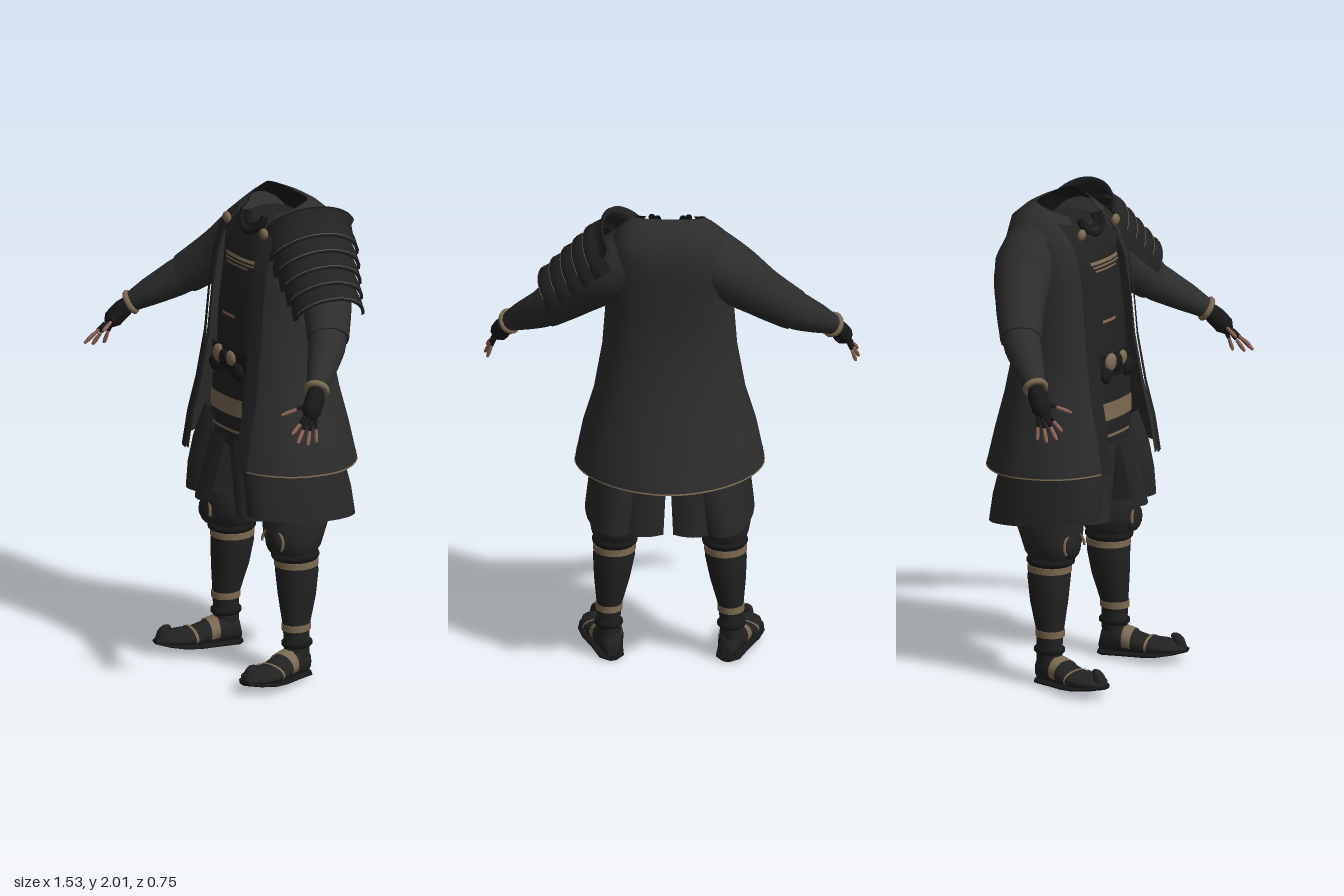
import * as THREE from 'three';

const V = (x, y, z) => new THREE.Vector3(x, y, z);
const paint = (name, color, side = THREE.DoubleSide) => {
  const m = new THREE.MeshStandardMaterial({ color, side });
  m.name = name;
  return m;
};

// Skin a list of point rings; rings may be closed loops or open strips
function loft(rings, closed = true, caps = false) {
  const n = rings[0].length, pos = [], idx = [];
  rings.forEach(r => r.forEach(p => pos.push(p.x, p.y, p.z)));
  for (let i = 0; i < rings.length - 1; i++) {
    for (let j = 0; j < (closed ? n : n - 1); j++) {
      const k = (j + 1) % n, a = i * n, b = a + n;
      idx.push(a + j, a + k, b + k, a + j, b + k, b + j);
    }
  }
  if (caps) [0, rings.length - 1].forEach(e => {
    const base = pos.length / 3, c = V(0, 0, 0);
    rings[e].forEach(p => { pos.push(p.x, p.y, p.z); c.addScaledVector(p, 1 / n); });
    pos.push(c.x, c.y, c.z);
    for (let j = 0; j < n; j++) {
      const k = (j + 1) % n;
      idx.push(base + n, base + (e ? j : k), base + (e ? k : j));
    }
  });
  const g = new THREE.BufferGeometry();
  g.setAttribute('position', new THREE.Float32BufferAttribute(pos, 3));
  g.setIndex(idx);
  g.computeVertexNormals();
  return g;
}

// Ring (or arc) round a centre, square to direction t, its middle facing up
function hoop(c, t, r, n, from = 0, to = Math.PI * 2, closed = true) {
  const T = t.clone().normalize(), ref = Math.abs(T.y) > 0.9 ? V(0, 0, 1) : V(0, 1, 0);
  const v = ref.addScaledVector(T, -ref.dot(T)).normalize(), u = T.clone().cross(v);
  return Array.from({ length: n }, (_, j) => {
    const a = from + (to - from) * j / (closed ? n : n - 1);
    return c.clone().addScaledVector(v, r * Math.cos(a)).addScaledVector(u, r * Math.sin(a));
  });
}

// Tapered limb through [x, y, z, radius] points
function limb(pts, n = 12, steps = 4) {
  const curve = new THREE.CatmullRomCurve3(pts.map(p => V(p[0], p[1], p[2])));
  const last = pts.length - 1, rings = [];
  for (let i = 0; i <= last * steps; i++) {
    const t = i / (last * steps), k = Math.min(Math.floor(t * last), last - 1);
    const r = THREE.MathUtils.lerp(pts[k][3], pts[k + 1][3], t * last - k);
    rings.push(hoop(curve.getPoint(t), curve.getTangent(t), r, n));
  }
  return loft(rings, true, true);
}

// Upright part from [y, centreX, radiusX, centreZ, radiusZ] rows
const column = (rows, caps = true, tilt = 0, n = 20) => loft(rows.map(([y, cx, rx, cz, rz]) =>
  Array.from({ length: n }, (_, j) => {
    const a = j / n * Math.PI * 2, z = cz + rz * Math.cos(a);
    return V(cx + rx * Math.sin(a), y + tilt * z, z);
  })), true, caps);

// Body profiles: [y, half width, centre z, front z, back z, half opening]
const COAT = [
  [0.90, .385, -.05, .27, -.38, .17], [1.05, .355, -.05, .25, -.335, .165],
  [1.20, .31, -.05, .22, -.29, .155], [1.40, .275, -.05, .19, -.24, .14],
  [1.60, .26, -.06, .175, -.245, .135], [1.75, .26, -.08, .15, -.26, .13],
  [1.85, .25, -.09, .115, -.27, .125], [1.93, .225, -.1, .075, -.25, .12],
  [1.975, .18, -.1, .05, -.2, .11], [2.0, .145, -.1, .03, -.145, .1]];
const TORSO = [
  [0.97, .24, -.04, .17, -.2, 0], [1.30, .22, -.04, .165, -.2, 0], [1.50, .22, -.04, .155, -.2, 0],
  [1.75, .21, -.06, .125, -.2, 0], [1.88, .18, -.08, .08, -.2, 0], [1.91, .12, -.08, .04, -.16, 0]];
const at = (rows, y) => {
  let i = 0;
  while (i < rows.length - 2 && y > rows[i + 1][0]) i++;
  const t = (y - rows[i][0]) / (rows[i + 1][0] - rows[i][0]);
  return rows[i].map((v, k) => THREE.MathUtils.lerp(v, rows[i + 1][k], t));
};
// Point on a body profile: back rounder at the hem, collar dipping to the front
const shell = (row, a, off, tilt) => {
  const [y, w, zc, zf, zb] = row, s = Math.sin(a), c = Math.cos(a);
  const e = c > 0 ? .8 : THREE.MathUtils.clamp(1.08 - (y - .9) * .38, .7, 1.08);
  const z = zc + ((c > 0 ? zf - zc : zc - zb) + off) * Math.sign(c) * Math.abs(c) ** e;
  const dip = Math.max(0, z + .12) * Math.max(0, y - 1.86) * 3.2;
  return V((w + off) * Math.sign(s) * Math.abs(s) ** e, y + tilt * (z * Math.max(0, 1.6 - y) - dip * 10), z);
};
// Coat band between heights; span limits it to a strip beside the opening
const coatBand = (ys, off, span = 0, n = 48) => loft(ys.map(y => {
  const r = at(COAT, y), a0 = Math.asin((r[5] / r[1]) ** 1.25);
  const a1 = span ? Math.asin(Math.min(1, (r[5] + span) / r[1]) ** 1.25) : Math.PI * 2 - a0;
  return Array.from({ length: n }, (_, j) => shell(r, a0 + (a1 - a0) * j / (n - 1), off, .09));
}), false);
// Curved plate lying on the torso front
const plate = (y0, y1, x0, x1, off) => loft([y0, (y0 + y1) / 2, y1].map(y => {
  const [, w, zc, zf] = at(TORSO, y);
  return Array.from({ length: 13 }, (_, j) => {
    const x = x0 + (x1 - x0) * j / 12;
    return V(x, y, zc + (zf - zc) * (1 - Math.abs(x / w) ** 2.5) ** .4 + off);
  });
}), false);

export function createModel() {
  const model = new THREE.Group();
  const cloth = paint('coat cloth', 0x2d2d2d), trouser = paint('trouser cloth', 0x272727);
  const armour = paint('dark armour', 0x222222), black = paint('black leather', 0x181818);
  const tan = paint('tan trim', 0x7c6a52), skin = paint('skin', 0x8c6357);
  const add = (parent, name, geo, mat, p) => {
    const m = new THREE.Mesh(geo, mat);
    m.name = name;
    if (p) m.position.set(...p);
    parent.add(m);
    return m;
  };

  // Coat with dark collar lining and hem line
  const ys = COAT.map(r => r[0]);
  add(model, 'coat', coatBand(ys, 0), cloth);
  add(model, 'collarLining', coatBand([1.84, 1.93, 1.975, 1.998], -.006), black);
  add(model, 'hemTrim', coatBand([.9, .906], .003), tan);

  // Torso, chest stripes, belt and apron
  add(model, 'torso', loft(TORSO.map(r => Array.from({ length: 32 }, (_, j) =>
    shell(r, j / 16 * Math.PI, 0, 0))), true, true), armour);
  [[1.753, 1.766, -.1, .1, tan], [1.738, 1.747, -.09, .1, tan], [1.722, 1.73, -.08, .07, tan],
    [1.508, 1.52, -.07, .02, skin]].forEach(([a, b, c, d, m], i) =>
    add(model, 'chestStripe' + i, plate(a, b, c, d, .005), m));
  add(model, 'apron', plate(.97, 1.26, -.14, .14, .012), armour);
  add(model, 'apronPlate', plate(1.06, 1.24, -.125, .11, .02), armour);
  add(model, 'apronBand', plate(1.105, 1.18, -.125, .105, .026), tan);
  add(model, 'apronLine', plate(1.03, 1.042, -.12, .09, .018), tan);
  add(model, 'belt', plate(1.28, 1.38, -.15, .15, .022), black);
  [[-.055, 1.345, .038, tan], [.03, 1.345, .032, tan], [-.012, 1.335, .04, black],
    [-.085, 1.295, .034, black], [.075, 1.295, .038, black]].forEach(([x, y, r, m], i) =>
    add(model, 'beltKnot' + i, new THREE.SphereGeometry(r, 12, 8), m, [x, y, .182]).scale.z = .5);
  [.075, .052].forEach((r, i) => {
    const fold = add(model, 'necklineFold', new THREE.TorusGeometry(r, .014, 6, 20, Math.PI), black,
      [0, 1.93, .045 - i * .012]);
    fold.rotation.set(-.5, 0, Math.PI);
  });

  for (const s of [1, -1]) {
    const side = new THREE.Group();
    side.name = s > 0 ? 'leftSide' : 'rightSide';
    side.scale.x = s;
    model.add(side);

    // Lapel and button
    add(side, 'lapel', coatBand(ys.slice(0, 9), .012, .05, 6), armour);
    add(side, 'lapelButton', new THREE.SphereGeometry(.024, 10, 8), tan, [.13, 1.89, .09]).scale.z = .6;

    // Sleeve, cuff and gloved hand
    add(side, 'upperSleeve', limb([[.14, 1.83, -.11, .13], [.25, 1.75, -.105, .128], [.375, 1.64, -.05, .102],
      [.5, 1.53, .03, .085]], 16), cloth);
    add(side, 'lowerSleeve', limb([[.46, 1.565, 0, .08], [.53, 1.505, .06, .076], [.6, 1.445, .135, .06],
      [.655, 1.395, .195, .042]], 14), cloth);
    const cuff = add(side, 'cuff', new THREE.TorusGeometry(.041, .013, 8, 18), tan, [.657, 1.393, .197]);
    cuff.quaternion.setFromUnitVectors(V(0, 0, 1), V(.055, -.05, .06).normalize());
    add(side, 'glove', limb([[.65, 1.4, .19, .032], [.68, 1.36, .225, .04], [.7, 1.32, .255, .04],
      [.712, 1.295, .27, .02]], 10), black);
    [[.7, 1.31, .28, .72, 1.25, .365], [.715, 1.3, .285, .753, 1.22, .36], [.72, 1.295, .27, .76, 1.205, .315],
      [.72, 1.295, .25, .75, 1.205, .265], [.675, 1.345, .25, .63, 1.305, .355]].forEach(([a, b, c, d, e, f]) => {
      const mix = (t, r) => [a + (d - a) * t, b + (e - b) * t, c + (f - c) * t, r];
      add(side, 'fingerGlove', limb([mix(0, .011), mix(.4, .008)], 6, 1), black);
      add(side, 'fingerTip', limb([mix(.45, .007), mix(.8, .009), mix(1, .006)], 6, 1), skin);
    });

    // Wide trouser leg with front and back panels
    add(side, 'trouserLeg', column([[.69, .215, .13, -.035, .255], [.8, .2, .132, -.03, .25],
      [.92, .17, .14, -.025, .235], [1.06, .14, .14, -.02, .19]], false, .13, 28), trouser);
    const panel = (name, x0, x1, slant, hem, z, lean) => add(side, name, loft([0, .11, .21, .31].map(h =>
      Array.from({ length: 7 }, (_, j) => V(x0 + slant * h + (x1 - x0) * j / 6, hem + h,
        z * (1 - lean * h) * (1 - .025 * (j - 2) ** 2)))), false), trouser);
    panel('frontPanel', .092, .25, -.27, .695, .225, .35);
    panel('backPanel', .02, .26, -.05, .65, -.285, .3);

    // Gathered knee with tan-rimmed pad, wrapped shin
    add(side, 'knee', column([[.53, .222, .078, 0, .09], [.56, .22, .1, 0, .11], [.61, .215, .114, 0, .13],
      [.67, .213, .12, -.01, .145], [.8, .21, .115, -.01, .14]]), trouser);
    const rim = add(side, 'kneePadRim', new THREE.TorusGeometry(.056, .006, 6, 20, Math.PI * 1.2), tan,
      [.238, .6, .122]);
    rim.rotation.set(-.1, .25, -.5);
    add(side, 'kneePad', new THREE.SphereGeometry(.056, 16, 8), armour, [.235, .6, .112]).scale.z = .4;
    add(side, 'shin', column([[.09, .25, .046, .01, .055], [.15, .25, .048, .01, .055], [.22, .248, .05, .012, .057],
      [.35, .236, .073, 0, .08], [.45, .228, .085, -.005, .09], [.54, .224, .082, -.002, .09]]), armour);
    [[.478, .505, .226, .087, -.004, .093], [.207, .235, .248, .055, .012, .062]].forEach(([a, b, cx, rx, cz, rz]) =>
      add(side, 'shinBand', column([[a, cx, rx, cz, rz], [b, cx, rx, cz, rz]]), tan));
    [[.522, .224, .085, 0, .093], [.15, .25, .05, .01, .058]].forEach(([y, cx, rx, cz, rz]) =>
      add(side, 'shinCord', column([-.014, -.006, .006, .014].map((d, i) => {
        const e = i % 3 ? .008 : 0;
        return [y + d, cx, rx + e, cz, rz + e];
      })), black));

    // Turned-out shoe with curled toe, sole and tan straps
    const shoe = new THREE.Group();
    shoe.name = 'shoe';
    shoe.position.x = .244;
    shoe.rotation.y = .22;
    side.add(shoe);
    const slices = (rows, caps) => loft(rows.map(([z, w, lo, hi]) => Array.from({ length: 16 }, (_, j) => {
      const a = j / 8 * Math.PI;
      return V(-w * Math.sin(a), (lo + hi) / 2 + (hi - lo) / 2 * Math.cos(a), z);
    })), true, caps);
    add(shoe, 'upper', slices([[-.05, .02, .02, .06], [-.035, .042, .01, .12], [.03, .052, .01, .14],
      [.08, .06, .012, .12], [.15, .074, .02, .092], [.22, .08, .028, .088], [.28, .06, .035, .082],
      [.32, .022, .042, .066]], true), armour);
    add(shoe, 'sole', slices([[-.055, .025, 0, .02], [-.03, .052, 0, .024], [.06, .065, .006, .03],
      [.15, .086, .014, .038], [.22, .09, .022, .046], [.28, .07, .032, .054], [.326, .025, .042, .058]], true), black);
    add(shoe, 'toeCurl', limb([[0, .055, .3, .026], [0, .085, .29, .025], [0, .103, .275, .018],
      [0, .106, .258, .008]], 8, 3), armour);
    add(shoe, 'ankleStrap', slices([[.06, .062, .02, .131], [.1, .068, .02, .118]], false), tan);
    add(shoe, 'toeStrap', slices([[.162, .079, .024, .095], [.174, .081, .026, .094]], false), tan);
  }

  // Layered shoulder guard on the left arm, with a raised inner lip
  const guard = new THREE.Group();
  guard.name = 'shoulderGuard';
  model.add(guard);
  const p0 = V(.2, 1.79, -.095), dir = V(.225, -.19, .075);
  const arc = (t, r, w = 1.5) => hoop(p0.clone().addScaledVector(dir, t), dir, r, 18, -w, w, false);
  for (let i = 0; i < 5; i++) {
    const t = i * .235 - .16, r = .187 - i * .0105;
    add(guard, 'lame', loft([arc(t, r - .003), arc(t + .14, r + .004), arc(t + .27, r + .006),
      arc(t + .275, r - .008)], false), armour);
    add(guard, 'lameTrim', loft([arc(t + .255, r + .0072, 1.2), arc(t + .264, r + .0076, 1.2)], false), tan);
  }
  add(guard, 'raisedLip', loft([arc(-.1, .186, 1.2), arc(-.22, .19, 1.15), arc(-.27, .208, 1.1),
    arc(-.31, .205, 1.1), arc(-.25, .185, 1.15)], false), armour);
  return model;
}
